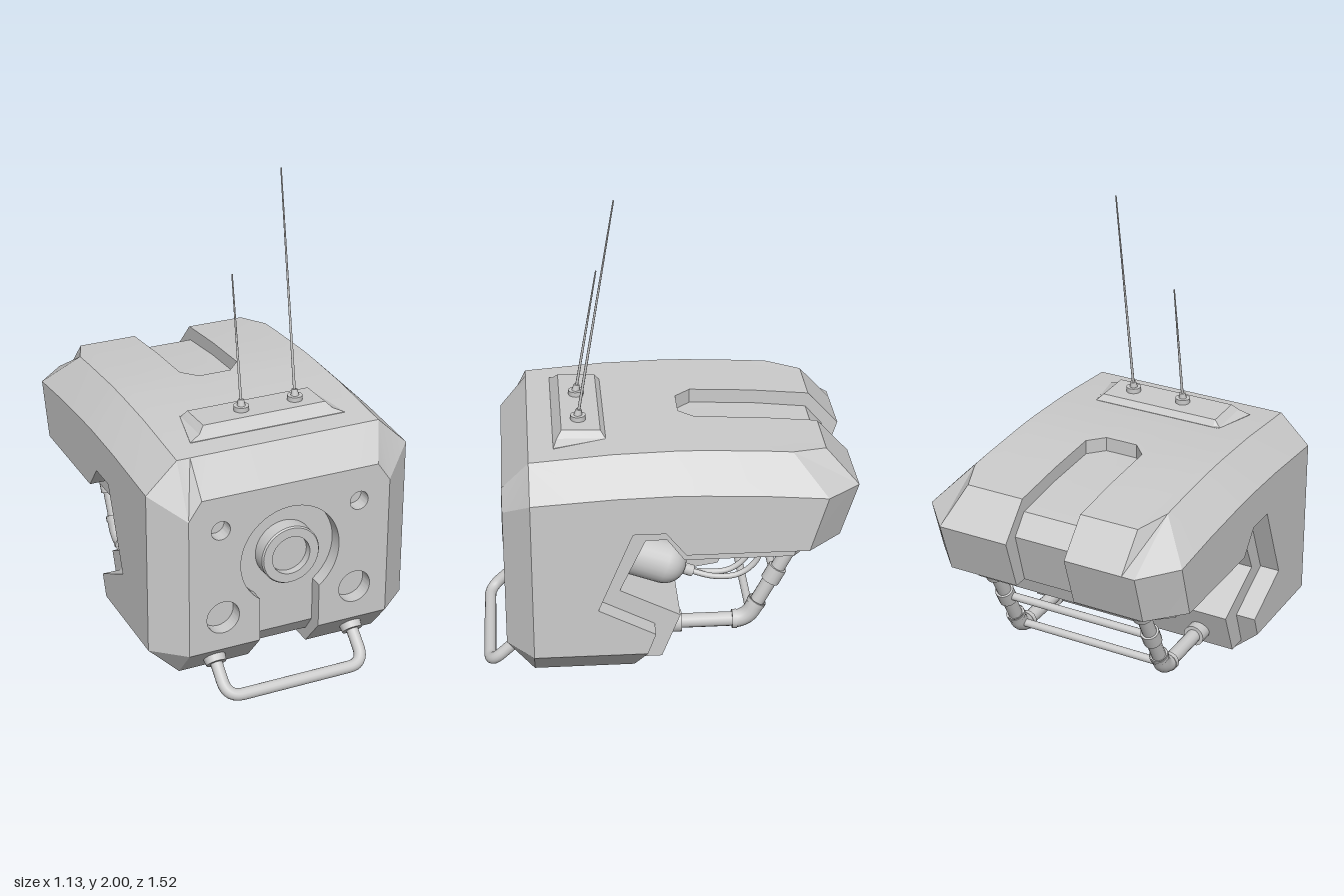
import * as THREE from 'three';
import { toCreasedNormals } from 'three/addons/utils/BufferGeometryUtils.js';

const grey = new THREE.MeshStandardMaterial({ color: 0xcccccc, side: THREE.DoubleSide });
const V = (x, y, z) => new THREE.Vector3(x, y, z);

function part(parent, name, geometry) {
  const m = new THREE.Mesh(geometry, grey);
  m.name = name;
  parent.add(m);
  return m;
}

// Joins [z, y] profiles placed along x; skip(i, a, b) leaves a strip open
function loft(sections, skip = () => false) {
  const pos = [];
  const tri = (a, b, c) => {
    const n = b.clone().sub(a).cross(c.clone().sub(a));
    if (n.length() > 1e-8) for (const p of [a, b, c]) pos.push(p.x, p.y, p.z);
  };
  const at = (s, i) => V(s.x, s.pts[i][1], s.pts[i][0]);
  for (let k = 0; k + 1 < sections.length; k++) {
    const a = sections[k], b = sections[k + 1], n = a.pts.length;
    for (let i = 0; i < n; i++) {
      if (skip(i, a, b)) continue;
      const j = (i + 1) % n;
      tri(at(a, i), at(b, i), at(b, j));
      tri(at(a, i), at(b, j), at(a, j));
    }
  }
  // End caps, each facing outwards
  for (const [s, dir] of [[sections[0], -1], [sections.at(-1), 1]]) {
    const flat = s.pts.map(p => new THREE.Vector2(p[0], p[1]));
    for (const f of THREE.ShapeUtils.triangulateShape(flat, [])) {
      const [a, b, c] = f.map(i => at(s, i));
      const nx = b.clone().sub(a).cross(c.clone().sub(a)).x;
      if (nx * dir > 0) tri(a, b, c); else tri(a, c, b);
    }
  }
  const g = new THREE.BufferGeometry();
  g.setAttribute('position', new THREE.Float32BufferAttribute(pos, 3));
  return toCreasedNormals(g, 0.3);
}

const mirrored = half => [...half].reverse().map(s => ({ x: -s.x, pts: s.pts })).concat(half);

function rod(parent, name, a, b, r0, r1 = r0, sides = 16) {
  const m = part(parent, name, new THREE.CylinderGeometry(r1, r0, a.distanceTo(b), sides));
  m.position.copy(a).lerp(b, 0.5);
  m.quaternion.setFromUnitVectors(V(0, 1, 0), b.clone().sub(a).normalize());
  return m;
}

// Straight runs joined by rounded bends
function pipe(parent, name, pts, bend, r) {
  const path = new THREE.CurvePath();
  let from = pts[0];
  for (let i = 1; i < pts.length - 1; i++) {
    const a = pts[i].clone().add(pts[i - 1].clone().sub(pts[i]).setLength(bend));
    const b = pts[i].clone().add(pts[i + 1].clone().sub(pts[i]).setLength(bend));
    path.add(new THREE.LineCurve3(from, a));
    path.add(new THREE.QuadraticBezierCurve3(a, pts[i], b));
    from = b;
  }
  path.add(new THREE.LineCurve3(from, pts.at(-1)));
  return part(parent, name, new THREE.TubeGeometry(path, 80, r, 14, false));
}

// Outer shell profile at one x: front, roof, back, side cut-out, underside
const cutOut = [[-0.06, 0.66], [0.02, 0.76], [0.15, 0.76], [0.29, 0.42], [0.06, 0.3]];
function shellProfile({ ft = 0.89, roofBack = [-0.63, 1.02], rear = [0.14, 0.08] }) {
  return [[0.66, 0.21], [0.66, ft], [0.55, 1.025], [0.22, 1.05], [-0.02, 1.056], [-0.13, 1.055], [-0.13, 1.055],
    [-0.38, 1.043], roofBack, [-0.76, 0.88], [-0.69, 0.66], ...cutOut, rear, [0.55, 0.08]];
}
function slotProfile(s) {
  return [[0.6, 0.21], [0.66, 0.89], [0.55, 1.025], [0.22, 1.05], [-0.02, 1.056], [s, 1.055], [s, 0.995],
    [-0.38, 0.985], [-0.62, 0.96], [-0.69, 0.88], [-0.63, 0.66], ...cutOut, [0.27, 0.14], [0.55, 0.14]];
}
const sideProfile = [[0.55, 0.21], [0.55, 0.9], [0.55, 0.9], [0.22, 0.92], [-0.02, 0.925], [-0.13, 0.922], [-0.13, 0.922],
  [-0.38, 0.91], [-0.62, 0.89], [-0.62, 0.89], [-0.55, 0.66], ...cutOut, [0.093, 0.21], [0.55, 0.21]];

function buildBody(g) {
  part(g, 'outerShell', loft(mirrored([
    { x: 0.07, pts: slotProfile(-0.065) },
    { x: 0.13, pts: slotProfile(-0.13) },
    { x: 0.13, pts: shellProfile({ rear: [0.35, 0.08] }) },
    { x: 0.3, pts: shellProfile({}) },
    { x: 0.38, pts: shellProfile({}) },
    { x: 0.435, pts: shellProfile({ ft: 0.81, roofBack: [-0.49, 1.035] }) },
    { x: 0.565, pts: sideProfile },
  ]), (i, a, b) => i === 0 && Math.max(Math.abs(a.x), Math.abs(b.x)) < 0.5));

  // Stepped inner layer inside the cut-out
  const inner = back => [[0.5, 0.145], [0.5, 0.8], [-0.45, 0.8], [back - 0.03, 0.68], [back, 0.59], [-0.06, 0.59],
    [0.01, 0.685], [0.095, 0.685], [0.2, 0.46], [-0.045, 0.335], [0.03, 0.145]];
  part(g, 'innerLayer', loft(mirrored([
    { x: 0.37, pts: inner(-0.595) },
    { x: 0.48, pts: inner(-0.5) },
  ])));

  // Central core between the side recesses
  const core = [[0.25, 0.4], [0.25, 0.72], [-0.28, 0.72], [-0.3, 0.59], [-0.22, 0.42], [0.03, 0.38]];
  part(g, 'core', loft([{ x: -0.22, pts: core }, { x: 0.22, pts: core }]));
}

function buildFront(g) {
  // Front plate with keyhole recess and four round ports
  const s = new THREE.Shape();
  s.moveTo(0.435, 0.21);
  for (const p of [[0.435, 0.81], [0.38, 0.89], [-0.38, 0.89], [-0.435, 0.81], [-0.435, 0.21], [-0.13, 0.21]]) s.lineTo(...p);
  const t = Math.atan2(-0.171, 0.13);
  s.absarc(0, 0.57, 0.215, Math.PI - t, t, true);
  s.lineTo(0.13, 0.21);
  for (const side of [-1, 1])
    for (const [x, y, r] of [[0.3, 0.745, 0.04], [0.29, 0.355, 0.07]])
      s.holes.push(new THREE.Path().absarc(side * x, y, r, 0, Math.PI * 2, true));
  const plate = new THREE.ExtrudeGeometry(s, { depth: 0.06, bevelEnabled: false, curveSegments: 32 });
  part(g, 'frontPlate', toCreasedNormals(plate, 0.5)).position.z = 0.6;
  part(g, 'recessBack', new THREE.PlaneGeometry(0.87, 0.68)).position.set(0, 0.55, 0.6);

  // Raised round boss with a dished centre
  const profile = [[0, 0.035], [0.082, 0.035], [0.082, 0.067], [0.12, 0.067], [0.125, 0.06], [0.125, 0]];
  const boss = part(g, 'frontBoss', toCreasedNormals(
    new THREE.LatheGeometry(profile.map(p => new THREE.Vector2(...p)).reverse(), 40), 0.5));
  boss.rotation.x = Math.PI / 2;
  boss.position.set(0, 0.57, 0.6);

  // Bent front handle
  const hx = 0.305;
  pipe(g, 'frontHandle', [V(-hx, 0.18, 0.57), V(-hx, 0.03, 0.735), V(hx, 0.03, 0.735), V(hx, 0.18, 0.57)], 0.07, 0.025);
  for (const x of [-hx, hx]) rod(g, 'handleCollar', V(x, 0.17, 0.58), V(x, 0.128, 0.627), 0.05, 0.042);
}

function buildRoof(g) {
  // Sloped antenna plinth
  const quad = (z0, z1, y0, y1) => [[z0, 1.0], [z0, y0], [z1, y1], [z1, 1.0]];
  const flat = [[0.45, 1.0], [0.45, 1.035], [0.415, 1.08], [0.26, 1.075], [0.24, 1.05], [0.24, 1.0]];
  const end = [[0.45, 1.0], ...Array(4).fill([0.45, 1.035]), [0.45, 1.0]];
  const back = [[0.45, 1.0], [0.45, 1.035], [0.435, 1.055], [0.25, 1.05], [0.24, 1.048], [0.24, 1.0]];
  part(g, 'antennaPlinth', loft(mirrored([{ x: 0.265, pts: flat }, { x: 0.29, pts: back }, { x: 0.335, pts: end }])));

  for (const [x, y, z] of [[-0.07, 1.62, 0.255], [0.165, 2, 0.193]]) {
    const a = new THREE.Group();
    a.name = 'antenna';
    g.add(a);
    rod(a, 'antennaBase', V(x, 1.07, 0.345), V(x, 1.098, 0.345), 0.031);
    rod(a, 'antennaSocket', V(x, 1.095, 0.345), V(x, 1.122, 0.341), 0.017, 0.012);
    rod(a, 'antennaRod', V(x, 1.1, 0.344), V(x, y, z), 0.006, 0.003, 8);
  }
}

function buildUnderside(g) {
  for (const side of [-1, 1]) {
    // Rear pipe frame with collars
    const P = (y, z) => V(side * 0.34, y, z);
    const f = new THREE.Group();
    f.name = 'rearFrame';
    g.add(f);
    pipe(f, 'framePipe', [P(0.22, 0.05), P(0.22, -0.33), P(0.62, -0.54)], 0.07, 0.03);
    for (const [y0, z0, y1, z1, r] of [[0.22, 0, 0.22, -0.06, 0.045], [0.22, -0.27, 0.22, -0.29, 0.04],
      [0.29, -0.366, 0.306, -0.375, 0.04], [0.4, -0.425, 0.46, -0.456, 0.039], [0.565, -0.511, 0.6, -0.53, 0.045]])
      rod(f, 'frameCollar', P(y0, z0), P(y1, z1), r);
    pipe(f, 'frameElbow', [P(0.22, -0.27), P(0.22, -0.33), P(0.31, -0.377)], 0.055, 0.037);

    // Side canister with a domed end
    const tank = part(g, 'canister', new THREE.CapsuleGeometry(0.09, 0.24, 8, 24));
    tank.position.set(side * 0.34, 0.54, 0.1);
    tank.rotation.x = -Math.PI / 2 - 0.36;
    tank.position.set(side * 0.34, 0.549, 0.123);
    rod(g, 'canisterNozzle', P(0.475, -0.06), P(0.457, -0.105), 0.024);

    // Hoses from the canister up to the overhang
    for (const [dx, dz] of [[-0.02, 0.015], [0.02, -0.02]]) {
      const x = side * 0.34 + dx;
      const curve = new THREE.CatmullRomCurve3([V(side * 0.34, 0.465, -0.08), V(x, 0.44, -0.17 + dz),
        V(x, 0.445, -0.27 + dz), V(x, 0.5, -0.34 + dz), V(x, 0.6, -0.375 + dz)]);
      part(g, 'hose', new THREE.TubeGeometry(curve, 32, 0.012, 10, false));
      rod(g, 'hoseFitting', V(x, 0.565, -0.37 + dz), V(x, 0.6, -0.375 + dz), 0.018);
    }
    rod(g, 'drainPeg', V(side * 0.1, 0.42, -0.045), V(side * 0.1, 0.365, -0.045), 0.01);
  }
  // Bars across the rear frame
  for (const [y, z] of [[0.43, -0.44], [0.25, -0.345]])
    rod(g, 'crossBar', V(-0.34, y, z), V(0.34, y, z), 0.017);
}

export function createModel() {
  const g = new THREE.Group();
  g.name = 'equipmentPack';
  buildBody(g);
  buildFront(g);
  buildRoof(g);
  buildUnderside(g);
  return g;
}
